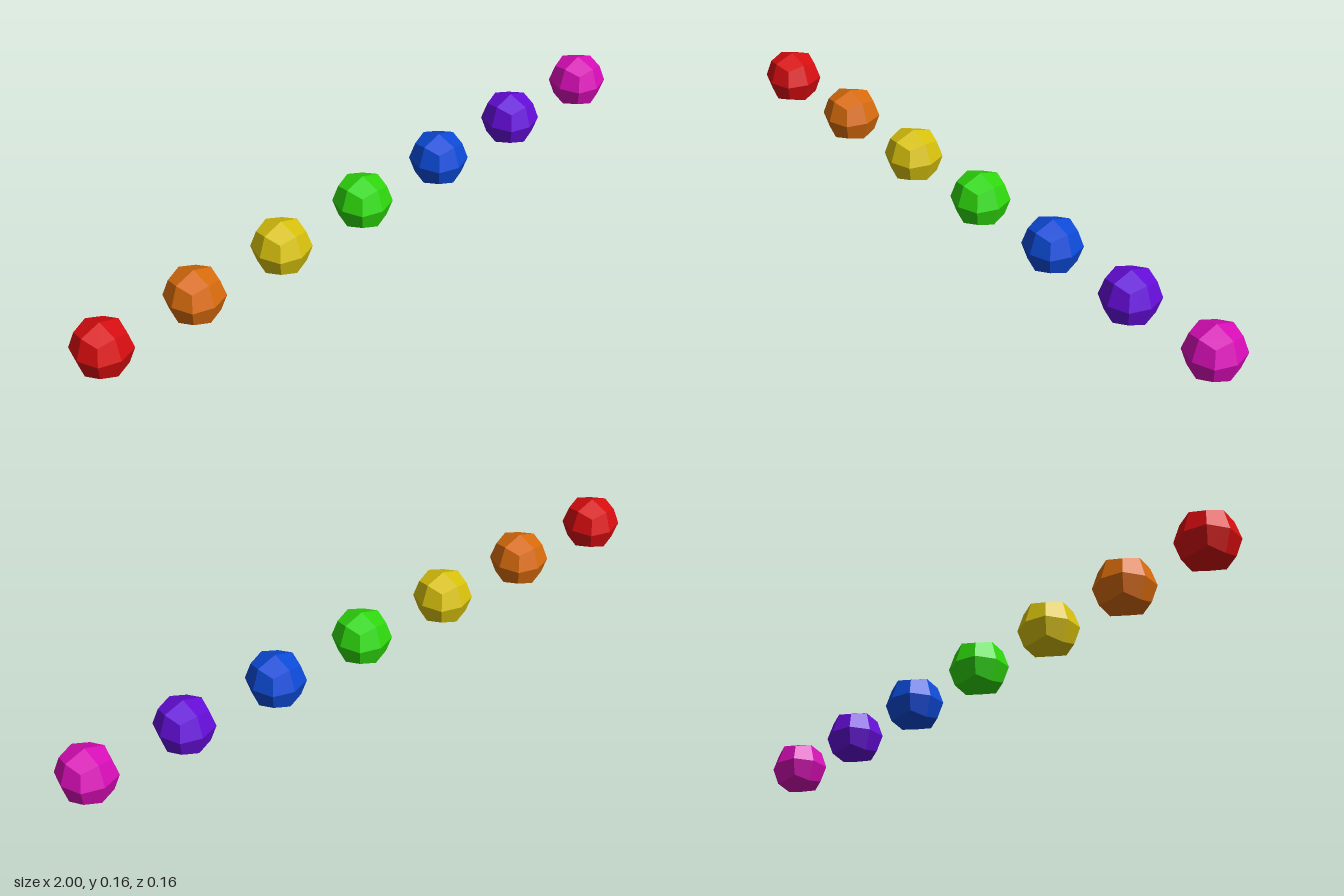
import * as THREE from 'three';

const RADIUS = 0.079;
const SPACING = 0.307;
const COLORS = {
  red: 0xd90d10, orange: 0xd96c0d, yellow: 0xd9c20d, green: 0x2fd90d,
  blue: 0x0d4bd9, purple: 0x650dd9, magenta: 0xd90db8,
};

// 24-sided ball: a 2x2x2 box whose edge midpoints and corners are pulled in so each kite face is flat
function facetedBall(radius) {
  const geometry = new THREE.BoxGeometry(2, 2, 2, 2, 2, 2);
  const position = geometry.attributes.position;
  const scales = [0, 1, 0.75, 0.6]; // by number of non-zero coordinates
  const v = new THREE.Vector3();
  for (let i = 0; i < position.count; i++) {
    v.fromBufferAttribute(position, i).round();
    const nonZero = Math.abs(v.x) + Math.abs(v.y) + Math.abs(v.z);
    v.multiplyScalar(radius * scales[nonZero]);
    position.setXYZ(i, v.x, v.y, v.z);
  }
  geometry.computeVertexNormals();
  return geometry;
}

export function createModel() {
  const model = new THREE.Group();
  model.name = 'ballRow';
  const geometry = facetedBall(RADIUS);

  // Row of seven balls along x
  Object.entries(COLORS).forEach(([name, color], i) => {
    const ball = new THREE.Mesh(geometry, new THREE.MeshStandardMaterial({ color, flatShading: true }));
    ball.name = `${name}Ball`;
    ball.position.set((i - 3) * SPACING, RADIUS, 0);
    model.add(ball);
  });
  return model;
}
